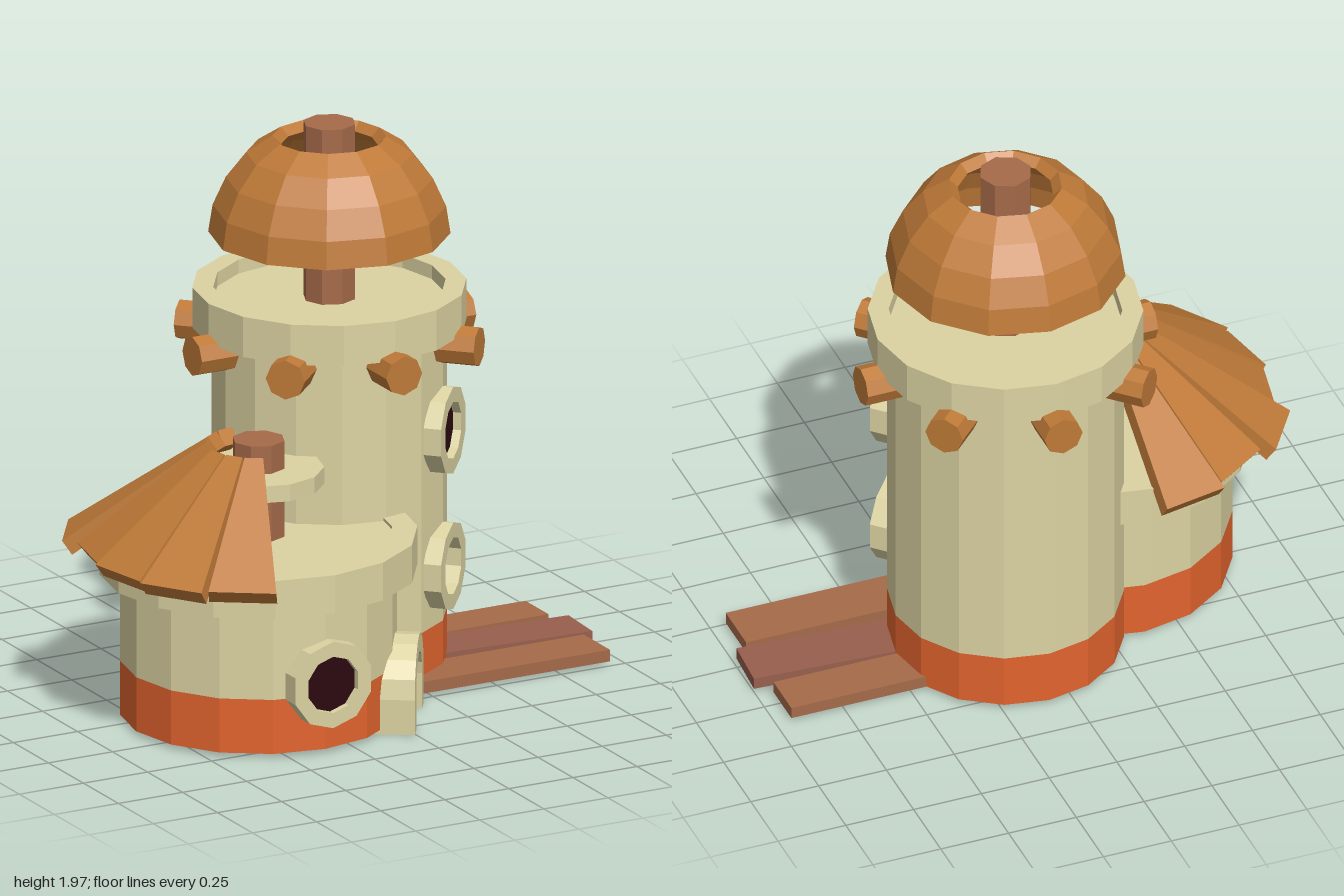
import * as THREE from 'three';

const mat = (name, color) => {
  const m = new THREE.MeshStandardMaterial({ color });
  m.name = name;
  return m;
};

export function createModel() {
  const plaster = mat('plaster', 0xdcd3a2);
  const brick = mat('red band', 0xe2642e);
  const timber = mat('orange timber', 0xbf7a38);
  const pole = mat('brown wood', 0xa56a49);
  const redwood = mat('reddish wood', 0x985f4d);
  const dark = mat('dark opening', 0x2a0810);
  const soil = mat('olive underside', 0x656536);

  const root = new THREE.Group();
  root.name = 'towerHouse';

  // Adds a faceted mesh
  const add = (parent, name, geometry, material, x = 0, y = 0, z = 0) => {
    const g = geometry.index ? geometry.toNonIndexed() : geometry;
    g.computeVertexNormals();
    const mesh = new THREE.Mesh(g, material);
    mesh.name = name;
    mesh.position.set(x, y, z);
    parent.add(mesh);
    return mesh;
  };
  const group = (parent, name, x = 0, y = 0, z = 0, turn = 0) => {
    const g = new THREE.Group();
    g.name = name;
    g.position.set(x, y, z);
    g.rotation.y = turn;
    parent.add(g);
    return g;
  };
  const cyl = (r, y0, y1, sides, open = false) =>
    new THREE.CylinderGeometry(r, r, y1 - y0, sides, 1, open).translate(0, (y0 + y1) / 2, 0);
  const lathe = (pts, sides) =>
    new THREE.LatheGeometry(pts.map(([x, y]) => new THREE.Vector2(x, y)), sides);
  const ring = (ri, ro, y0, y1, sides) =>
    lathe([[ri, y0], [ro, y0], [ro, y1], [ri, y1], [ri, y0]], sides);

  // Round walls with a red foot, a wider rim and a sunken floor
  const walls = (g, r, rimIn, rimOut, rimY, top, floorY) => {
    add(g, 'redBand', cyl(r, 0.015, 0.21, 16, true), brick);
    add(g, 'wall', cyl(r, 0.21, rimY + 0.02, 16, true), plaster);
    add(g, 'rim', ring(rimIn, rimOut, rimY, top, 16), plaster);
    add(g, 'roofFloor', new THREE.CircleGeometry(rimIn + 0.01, 16).rotateX(-Math.PI / 2), plaster, 0, floorY, 0);
  };

  // Round window frame facing outward, with optional dark pane
  const roundWindow = (g, turn, y, r0, r1, pane) => {
    const w = group(g, 'roundWindow', 0, y, 0, turn);
    add(w, 'windowFrame', ring(0.102, 0.156, r0, r1, 10).rotateX(Math.PI / 2), plaster);
    if (pane) add(w, 'windowPane', new THREE.CircleGeometry(0.108, 12), dark, 0, 0, pane);
  };

  // Tall tower
  const tower = group(root, 'tower', 0.086, 0, -0.19);
  walls(tower, 0.405, 0.4, 0.472, 1.245, 1.39, 1.34);
  add(tower, 'roofPole', cyl(0.092, 1.33, 1.97, 8), pole);
  for (let i = 0; i < 8; i++) {
    const peg = group(tower, 'peg', 0, 1.21, 0, (i * Math.PI) / 4);
    add(peg, 'pegLog', cyl(0.07, 0.3, 0.535, 8).rotateX(Math.PI / 2), timber);
  }
  roundWindow(tower, Math.PI / 4, 0.9, 0.38, 0.442, 0.412);
  roundWindow(tower, Math.PI / 4, 0.41, 0.38, 0.442, 0);

  // Hollow dome with an open crown, carried by a cross beam
  add(tower, 'dome', lathe([
    [0.375, 1.573], [0.415, 1.573], [0.4, 1.67], [0.355, 1.77], [0.285, 1.86], [0.195, 1.92],
    [0.165, 1.89], [0.255, 1.83], [0.32, 1.75], [0.36, 1.66], [0.375, 1.573],
  ], 12), timber);
  const beam = add(tower, 'domeBeam', cyl(0.045, -0.37, 0.37, 6).rotateZ(Math.PI / 2), timber, 0, 1.65, 0);
  beam.rotation.y = -Math.PI / 4;

  // Low round annex
  const annex = group(root, 'annex', -0.367, 0, 0.134);
  walls(annex, 0.477, 0.46, 0.547, 0.525, 0.662, 0.65);
  add(annex, 'underside', new THREE.CircleGeometry(0.477, 16).rotateX(Math.PI / 2), soil, 0, 0.015, 0);
  add(annex, 'annexPole', cyl(0.092, 0.64, 0.995, 8), pole);
  add(annex, 'poleCollar', cyl(0.225, 0.835, 0.895, 12), plaster);
  roundWindow(annex, 0.02, 0.255, 0.44, 0.515, 0.492);

  // Fan of tapered roof planks, each with its own reach
  [0.645, 0.615, 0.665, 0.615, 0.63, 0.645, 0.623].forEach((reach, i) => {
    const angle = THREE.MathUtils.degToRad(191.25 + 22.5 * i);
    const rib = group(annex, 'roofPlank', 0, 0.985, 0.0, angle);
    const run = reach - 0.18;
    const drop = 0.34;
    const geo = new THREE.BoxGeometry(1, 0.06, Math.hypot(run, drop));
    const p = geo.attributes.position;
    for (let k = 0; k < p.count; k++) p.setX(k, p.getX(k) * (p.getZ(k) > 0 ? 0.234 : 0.064));
    geo.translate(0, -0.03, Math.hypot(run, drop) / 2);
    const board = add(rib, 'plankBoard', geo, timber, 0, 0, 0.18);
    board.rotation.x = Math.atan2(drop, run);
  });
  // Board fan sits on the same axis as the pole

  // Arched doorway
  const archPoints = (w, top) => {
    const pts = [new THREE.Vector2(w, 0)];
    for (let i = 0; i <= 8; i++) {
      const a = (i * Math.PI) / 8;
      pts.push(new THREE.Vector2(w * Math.cos(a), 0.125 + (top - 0.125) * Math.sin(a)));
    }
    return [...pts, new THREE.Vector2(-w, 0)];
  };
  const frame = new THREE.Shape([...archPoints(0.18, 0.305), ...archPoints(0.118, 0.24).reverse()]);
  const door = group(annex, 'doorway', 0, 0, 0, THREE.MathUtils.degToRad(56.5));
  add(door, 'doorArch', new THREE.ExtrudeGeometry(frame, { depth: 0.14, bevelEnabled: false }), plaster, 0, 0, 0.412);
  add(door, 'doorOpening', new THREE.ShapeGeometry(new THREE.Shape(archPoints(0.12, 0.242))), dark, 0, 0, 0.51);

  // Plank walkway beside the tower
  const deck = group(root, 'walkway', 0, 0.034, 0);
  add(deck, 'backPlank', new THREE.BoxGeometry(0.76, 0.042, 0.165), pole, 0.565, 0, -0.28);
  add(deck, 'middlePlank', new THREE.BoxGeometry(0.76, 0.042, 0.19), redwood, 0.615, 0, -0.083).rotation.y = -0.06;
  add(deck, 'frontPlank', new THREE.BoxGeometry(0.78, 0.042, 0.188), pole, 0.555, 0, 0.147);

  return root;
}
